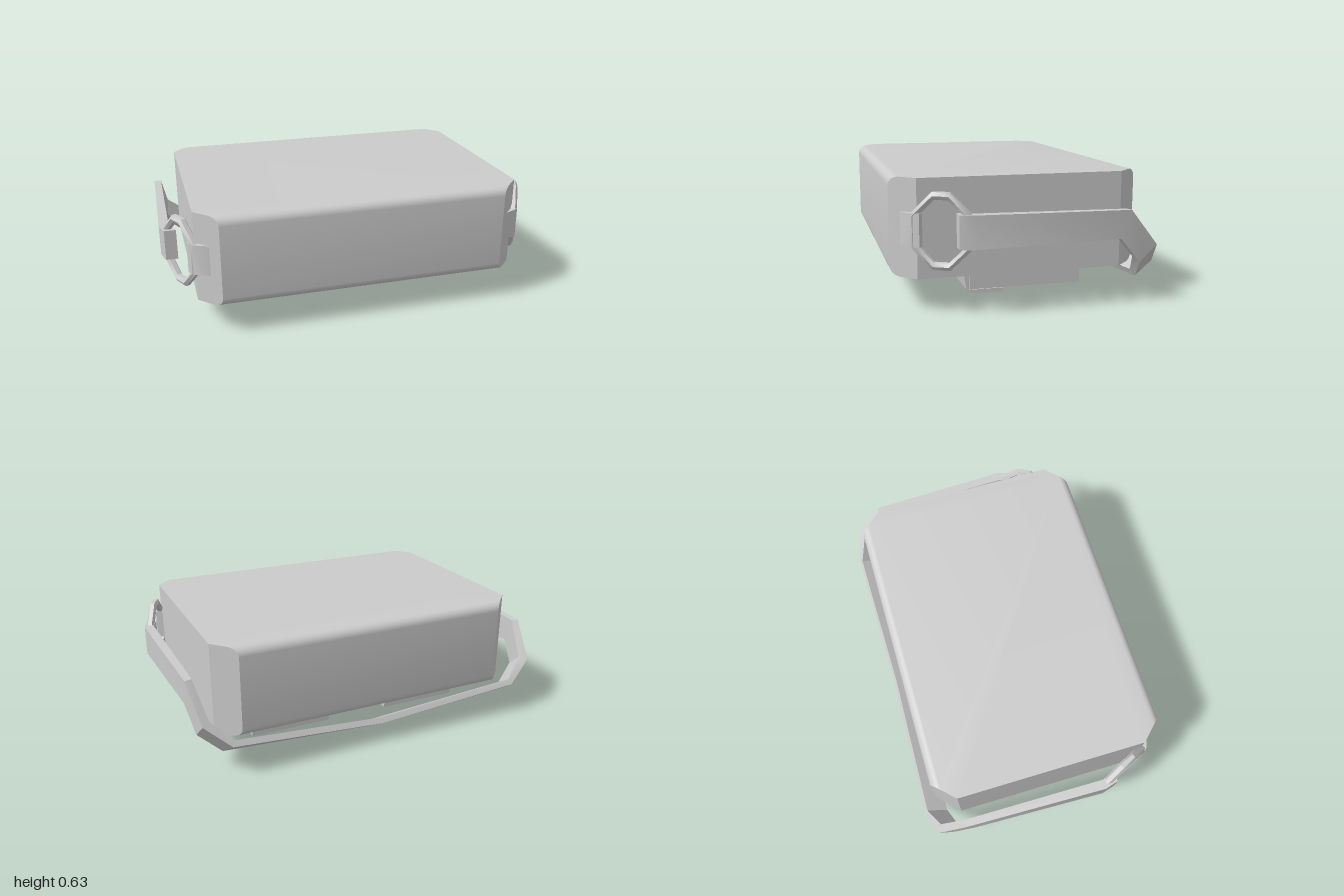
import * as THREE from 'three';
import { toCreasedNormals } from 'three/addons/utils/BufferGeometryUtils.js';

const material = new THREE.MeshStandardMaterial({ color: 0xcccccc });

function addMesh(parent, name, geometry) {
  const mesh = new THREE.Mesh(toCreasedNormals(geometry, 0.6), material);
  mesh.name = name;
  parent.add(mesh);
}

// Joins convex cross-sections into a solid, either capped or closed into a ring.
function loft(sections, ring = false) {
  const tris = [];
  const n = sections[0].length;
  const count = ring ? sections.length : sections.length - 1;
  for (let i = 0; i < count; i++) {
    const a = sections[i], b = sections[(i + 1) % sections.length];
    for (let j = 0; j < n; j++) {
      const k = (j + 1) % n;
      tris.push([a[j], a[k], b[k]], [a[j], b[k], b[j]]);
    }
  }
  if (!ring) {
    const first = sections[0], last = sections[sections.length - 1];
    for (let j = 1; j < n - 1; j++) {
      tris.push([first[0], first[j + 1], first[j]], [last[0], last[j], last[j + 1]]);
    }
  }
  // Turn the faces outwards if the enclosed volume comes out negative.
  const V = (p) => new THREE.Vector3(...p);
  const origin = V(sections[0][0]);
  let volume = 0;
  for (const t of tris) {
    const [p, q, r] = t.map((v) => V(v).sub(origin));
    volume += p.dot(q.cross(r));
  }
  if (volume < 0) tris.forEach((t) => t.reverse());
  const geometry = new THREE.BufferGeometry();
  geometry.setAttribute('position', new THREE.Float32BufferAttribute(tris.flat(2), 3));
  return geometry;
}

// Case: octagonal outline, front and back edges rounded at top and bottom.
function caseGeometry() {
  const r = 0.045, steps = 6, y0 = 0.16, y1 = 0.63;
  const layer = (y, inset) => {
    const f = 0.655 - inset, b = -0.575 + inset;
    const x = 0.85 - (f - 0.54) * 0.957;
    return [[x, y, f], [0.85, y, 0.54], [0.85, y, -0.46], [x, y, b],
      [-x, y, b], [-0.85, y, -0.46], [-0.85, y, 0.54], [-x, y, f]];
  };
  const lower = [], upper = [];
  for (let i = 0; i <= steps; i++) {
    const a = (i / steps) * Math.PI / 2;
    const rise = r * (1 - Math.cos(a)), inset = r * (1 - Math.sin(a));
    lower.push(layer(y0 + rise, inset));
    upper.unshift(layer(y1 - rise, inset));
  }
  return loft([...lower, ...upper]);
}

// Octagonal ring, slanted across the front corner of the case.
function ringGeometry(s) {
  const outline = [[0.119, 0.069], [0.034, 0.162], [-0.034, 0.162], [-0.119, 0.069],
    [-0.119, -0.069], [-0.034, -0.162], [0.034, -0.162], [0.119, -0.069]];
  const sections = outline.map(([dz, dy]) => {
    const section = [];
    for (let i = 0; i < 6; i++) {
      const a = (i + 0.5) * Math.PI / 3;
      const grow = 1 + 0.125 * Math.cos(a), out = 0.022 * Math.sin(a);
      const z = 0.437 + dz * grow;
      section.push([s * (0.975 - 0.49 * (z - 0.3) + 0.89 * out), 0.392 + dy * grow, z + 0.45 * out]);
    }
    return section;
  });
  return loft(sections, true);
}

// Tab that holds the ring to the case's front corner.
function tabGeometry(s) {
  const plan = [[0.78, 0.61], [0.86, 0.575], [0.885, 0.535], [0.85, 0.515], [0.77, 0.59]];
  return loft([0.315, 0.472].map((y) => plan.map(([x, z]) => [s * x, y, z])));
}

// Strap: sections of outer top, outer bottom, inner bottom, inner top.
function strapGeometry() {
  const half = [
    [[0.98, 0.475, 0.37], [0.98, 0.318, 0.37], [0.92, 0.318, 0.37], [0.92, 0.475, 0.37]],
    [[1.0, 0.475, 0.3], [1.0, 0.318, 0.3], [0.95, 0.318, 0.3], [0.95, 0.475, 0.3]],
    [[0.978, 0.462, -0.46], [0.978, 0.325, -0.41], [0.94, 0.325, -0.405], [0.94, 0.462, -0.45]],
    [[0.945, 0.28, -0.613], [0.955, 0.2, -0.52], [0.915, 0.22, -0.5], [0.905, 0.29, -0.585]],
    [[0.815, 0.167, -0.655], [0.84, 0.1, -0.555], [0.82, 0.13, -0.535], [0.8, 0.195, -0.64]],
  ];
  const centre = [[0, 0.103, -0.643], [0, 0.042, -0.541], [0, 0.073, -0.527], [0, 0.13, -0.627]];
  const mirrored = half.map((sec) => sec.map(([x, y, z]) => [-x, y, z])).reverse();
  return loft([...half, centre, ...mirrored]);
}

// Bent plate along the front and underside of a foot.
function clipGeometry() {
  const profile = [[0.278, 0.16], [0.256, 0.024], [0.22, 0], [0.065, 0], [0.065, 0.02], [0.24, 0.02], [0.24, 0.16]];
  const shape = new THREE.Shape(profile.map(([z, y]) => new THREE.Vector2(-z, y)));
  const geometry = new THREE.ExtrudeGeometry(shape, { depth: 0.44, bevelEnabled: false });
  geometry.translate(0, 0, -0.22);
  return geometry.rotateY(Math.PI / 2);
}

export function createModel() {
  const model = new THREE.Group();
  model.name = 'strappedCase';
  addMesh(model, 'case', caseGeometry());
  addMesh(model, 'strap', strapGeometry());

  for (const [side, s] of [['left', 1], ['right', -1]]) {
    addMesh(model, side + 'Ring', ringGeometry(s));
    addMesh(model, side + 'RingTab', tabGeometry(s));

    // Foot block with its clip under the case.
    const foot = new THREE.Group();
    foot.name = side + 'Foot';
    foot.position.x = s * 0.395;
    addMesh(foot, 'block', new THREE.BoxGeometry(0.44, 0.14, 0.585).translate(0, 0.092, -0.055));
    addMesh(foot, 'clip', clipGeometry());
    model.add(foot);
  }
  return model;
}
